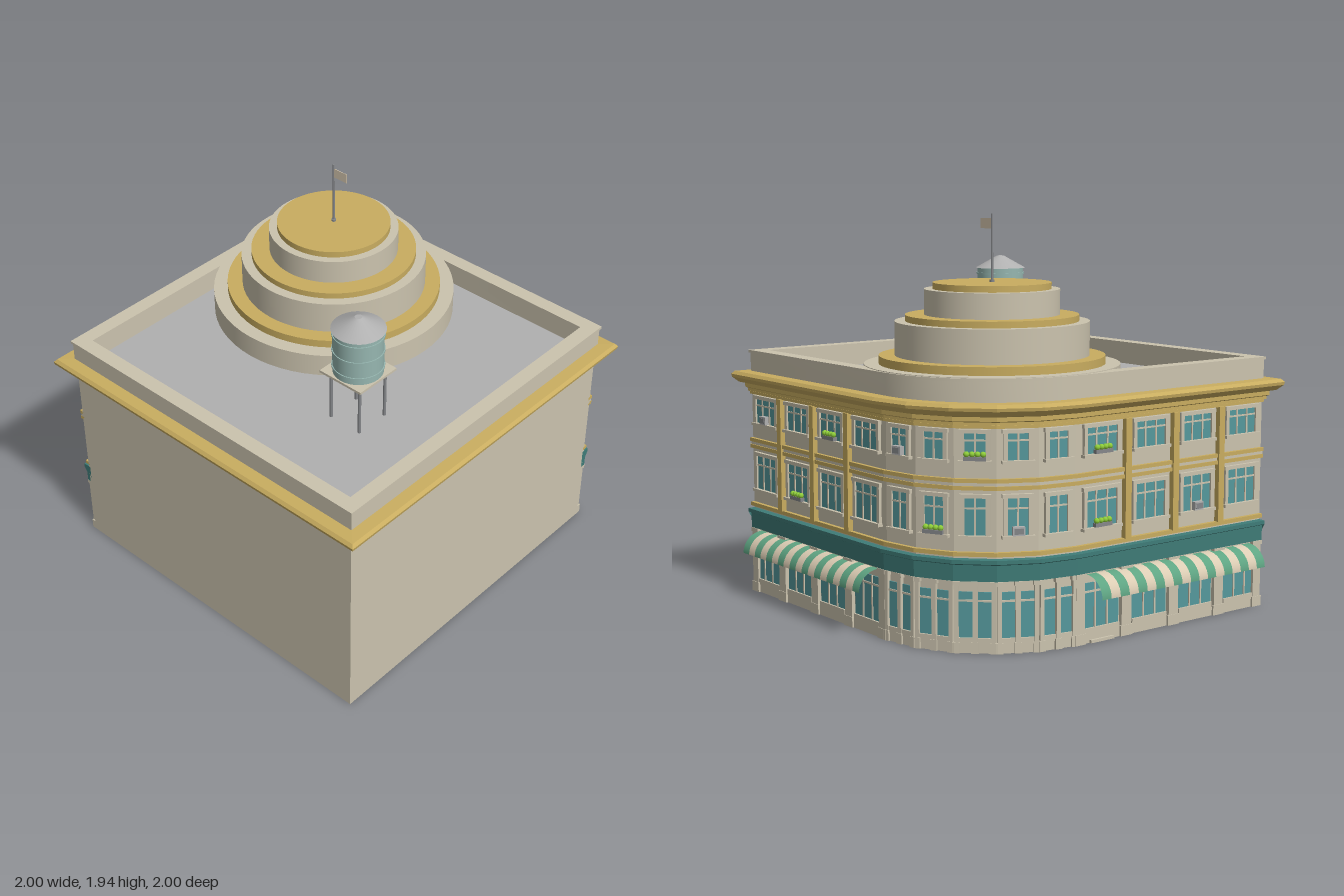
import * as THREE from 'three';
import { toCreasedNormals } from 'three/addons/utils/BufferGeometryUtils.js';

const mat = (name, color, side = THREE.FrontSide) => {
  const m = new THREE.MeshStandardMaterial({ color, side });
  m.name = name;
  return m;
};
const CORNER = -0.28, RADIUS = 0.61, FACETS = 5;

export function createModel() {
  const stone = mat('stone', 0xcbc3ae), gold = mat('gold', 0xc9ad60), roofGrey = mat('roof grey', 0xb0b0b0);
  const teal = mat('teal trim', 0x3f7c78), glass = mat('glass', 0x55989c), green = mat('awning green', 0x5fa583, THREE.DoubleSide);
  const cream = mat('cream', 0xdccdb4, THREE.DoubleSide), tankBlue = mat('tank blue', 0x96b6b0);
  const lime = mat('leaf green', 0x8fce3a), steel = mat('steel', 0x85878a);

  const model = new THREE.Group();
  model.name = 'cornerBuilding';

  const add = (parent, name, geo, material, x = 0, y = 0, z = 0) => {
    const m = new THREE.Mesh(geo, material);
    m.name = name;
    m.position.set(x, y, z);
    parent.add(m);
    return m;
  };
  const box = (p, name, material, w, h, d, x, y, z) => add(p, name, new THREE.BoxGeometry(w, h, d), material, x, y, z);
  const group = (name, parent = model) => {
    const g = new THREE.Group();
    g.name = name;
    parent.add(g);
    return g;
  };

  // Plan of the building with one rounded corner, grown outward by o
  const facadePath = (o, far, segs) => {
    const pts = [[CORNER - RADIUS - o, far]], r = RADIUS + o;
    for (let i = 0; i <= segs; i++) {
      const t = (i / segs) * Math.PI / 2;
      pts.push([CORNER - r * Math.cos(t), CORNER - r * Math.sin(t)]);
    }
    pts.push([far, CORNER - RADIUS - o]);
    return pts;
  };
  const plan = (o, far, segs) => [...facadePath(o, far + o, segs), [far + o, far + o]];

  // Sweeps a profile of [offset, y] round the whole plan, or along the two street facades only
  const sweep = (profile, far, segs, whole) => {
    const rings = profile.map(([o, y]) => (whole ? plan(o, far, segs) : facadePath(o, far, segs)).map(([x, z]) => [x, y, z]));
    const pos = [], n = rings[0].length;
    const tri = (a, b, c) => pos.push(...a, ...b, ...c);
    for (let k = 0; k < rings.length - 1; k++) {
      const lo = rings[k], hi = rings[k + 1];
      for (let i = 0; i < (whole ? n : n - 1); i++) {
        const j = (i + 1) % n;
        tri(lo[i], hi[i], hi[j]);
        tri(lo[i], hi[j], lo[j]);
      }
      if (!whole && k > 0) {
        tri(rings[0][0], hi[0], lo[0]);
        tri(rings[0][n - 1], lo[n - 1], hi[n - 1]);
      }
    }
    const g = new THREE.BufferGeometry();
    g.setAttribute('position', new THREE.Float32BufferAttribute(pos, 3));
    g.computeVertexNormals();
    return segs > FACETS ? toCreasedNormals(g, 0.4) : g;
  };
  const slab = (o, far, up) => {
    const s = new THREE.Shape(plan(o, far, FACETS).map(([x, z]) => new THREE.Vector2(x, -up * z)));
    return new THREE.ShapeGeometry(s).rotateX(-up * Math.PI / 2);
  };

  // Main body
  add(model, 'walls', sweep([[0, 0], [0, 1.05]], 0.915, FACETS, true), stone);
  add(model, 'underside', slab(0, 0.915, -1), stone);
  add(model, 'roofDeck', slab(-0.03, 0.925, 1), roofGrey, 0, 1.125);
  add(model, 'cornice', sweep([[0, 1.03], [0.012, 1.03], [0.012, 1.045], [0.022, 1.05], [0.022, 1.07],
    [0.045, 1.075], [0.07, 1.1], [0.073, 1.115], [0.06, 1.13], [0, 1.132]], 0.925, FACETS, true), gold);
  add(model, 'parapet', sweep([[0, 1.12], [0, 1.225], [0.007, 1.225], [0.007, 1.238], [-0.068, 1.238], [-0.068, 1.12]], 0.925, 20, true), stone);

  // Bands along the street facades
  const band = (name, m, profile) => add(model, name, sweep(profile, 0.915, FACETS, false), m);
  const flatBand = (name, m, y0, y1, o) => band(name, m, [[-0.01, y0], [o, y0], [o, y1], [-0.01, y1]]);
  band('shopfrontBand', teal, [[-0.01, 0.33], [0.018, 0.33], [0.02, 0.405], [0.036, 0.412], [0.036, 0.43], [-0.01, 0.432]]);
  flatBand('lowerGoldBand', gold, 0.443, 0.462, 0.02);
  flatBand('middleGoldBand', gold, 0.742, 0.76, 0.018);
  flatBand('middleStoneBand', stone, 0.76, 0.775, 0.012);
  flatBand('middleUpperGoldBand', gold, 0.775, 0.793, 0.018);
  flatBand('topGoldBand', gold, 1.018, 1.032, 0.014);
  flatBand('plinth', stone, 0, 0.04, 0.012);

  // Upper window in a panel whose local +z faces the street
  const upperWindow = (p, w, y0, y1, parts) => {
    const g = group('window', p), h = y1 - y0, yc = (y0 + y1) / 2;
    box(g, 'glass', glass, w, h, 0.008, 0, yc, 0.002);
    for (const s of [-1, 1]) box(g, 'jamb', stone, 0.02, h, 0.018, s * w / 2, yc, 0.006);
    for (let i = 1; i < parts; i++) box(g, 'mullion', stone, 0.009, h, 0.012, -w / 2 + (w * i) / parts, yc, 0.004);
    box(g, 'transom', stone, w, 0.008, 0.012, 0, y0 + h * 0.7, 0.004);
    box(g, 'lintel', stone, w + 0.03, 0.018, 0.024, 0, y1, 0.006);
    box(g, 'sill', stone, w + 0.035, 0.014, 0.034, 0, y0, 0.008);
  };
  const flowerBox = (p, y) => {
    const g = group('flowerBox', p);
    box(g, 'planter', steel, 0.1, 0.018, 0.024, 0, y + 0.016, 0.016);
    for (let i = -1.5; i < 2; i++) add(g, 'plant', new THREE.SphereGeometry(0.014, 8, 6), lime, i * 0.025, y + 0.035, 0.018);
  };
  const coolerBox = (p, y) => {
    const g = group('airConditioner', p);
    box(g, 'case', roofGrey, 0.055, 0.04, 0.03, 0, y + 0.028, 0.016);
    box(g, 'grille', steel, 0.042, 0.026, 0.004, 0, y + 0.028, 0.032);
  };
  // Sill extras per floor, lower then upper: F flower box, A air conditioner
  const floors = [[0.53, 0.715], [0.868, 1.005]];
  const dress = (p, extras) => floors.forEach(([sill], i) => {
    if (extras[i] === 'F') flowerBox(p, sill);
    if (extras[i] === 'A') coolerBox(p, sill);
  });

  // Shop window between piers
  const shopWindow = (p, x, w, parts) => {
    const g = group('shopWindow', p);
    box(g, 'glass', glass, w, 0.21, 0.008, x, 0.175, 0.002);
    box(g, 'transom', stone, w, 0.009, 0.012, x, 0.24, 0.005);
    box(g, 'stallRiser', stone, w, 0.03, 0.022, x, 0.055, 0.004);
    for (let i = 1; i < parts; i++) box(g, 'mullion', stone, 0.009, 0.21, 0.012, x - w / 2 + (w * i) / parts, 0.175, 0.005);
  };
  const pier = (p, x, w) => {
    box(p, 'pier', stone, w, 0.3, 0.03, x, 0.18, 0.004);
    box(p, 'pierBase', stone, w + 0.012, 0.05, 0.036, x, 0.025, 0.004);
    box(p, 'pierCap', stone, w + 0.012, 0.02, 0.036, x, 0.32, 0.004);
  };

  // Straight facades: four bays each, listed from the rounded corner outward
  const facade = (name, turn, toPosition, extras) => {
    const f = group(name);
    const panel = (label, c) => {
      const g = group(label, f);
      g.position.set(...toPosition(c));
      g.rotation.y = turn;
      return g;
    };
    [-0.13, 0.17, 0.47, 0.77].forEach((c, i) => {
      const p = panel('bay', c);
      for (const [y0, y1] of floors) upperWindow(p, 0.2, y0, y1, 3);
      shopWindow(p, 0, 0.22, 3);
      dress(p, extras[i]);
    });
    for (const c of [0.02, 0.32, 0.62]) {
      const p = panel('pilaster', c);
      box(p, 'goldPilaster', gold, 0.036, 0.56, 0.036, 0, 0.74, 0.008);
      pier(p, 0, 0.06);
    }
    for (const c of [-0.26, 0.884]) pier(panel('endPier', c), 0, 0.05);

    // Striped awning
    const awning = panel('awning', 0.3175), n = 19, w = 1.055 / n;
    const curve = new THREE.CylinderGeometry(1, 1, w, 8, 1, true, 0, Math.PI / 2).rotateZ(Math.PI / 2).scale(1, 0.1, 0.11);
    for (let i = 0; i < n; i++) add(awning, 'awningStripe', curve, i % 2 ? cream : green, (i - (n - 1) / 2) * w, 0.22, 0);
    return panel;
  };
  const face = CORNER - RADIUS;
  facade('backFacade', Math.PI, c => [c, 0, face], ['--', '-F', 'F-', '-A']);
  const sidePanel = facade('sideFacade', -Math.PI / 2, c => [face, 0, c], ['FF', '--', 'A-', '--']);
  box(sidePanel('entrance', -0.13), 'doorStep', stone, 0.14, 0.014, 0.05, 0, 0.007, 0);

  // Rounded corner: one panel per facet
  const corner = group('roundedCorner'), half = Math.PI / 4 / FACETS;
  ['-A', 'F-', '-F', 'A-', '--'].forEach((extras, i) => {
    const turn = Math.PI + half * (2 * i + 1), r = RADIUS * Math.cos(half);
    const p = group('cornerPanel', corner);
    p.rotation.y = turn;
    p.position.set(CORNER + r * Math.sin(turn), 0, CORNER + r * Math.cos(turn));
    for (const [y0, y1] of floors) upperWindow(p, 0.115, y0, y1, 2);
    for (const s of [-1, 1]) {
      shopWindow(p, s * 0.045, 0.065, 1);
      pier(p, s * 0.085, 0.02);
    }
    pier(p, 0, 0.022);
    dress(p, extras);
  });

  // Stepped round crown and flagpole
  const crown = group('crown');
  crown.position.set(CORNER, 0, CORNER);
  const tiers = [[0.605, 1.12, 1.241, stone], [0.535, 1.241, 1.28, gold], [0.46, 1.28, 1.44, stone],
    [0.41, 1.44, 1.47, gold], [0.32, 1.47, 1.59, stone], [0.28, 1.59, 1.62, gold]];
  for (const [r, y0, y1, m] of tiers) add(crown, 'crownTier', new THREE.CylinderGeometry(r, r, y1 - y0, 64), m, 0, (y0 + y1) / 2, 0);
  add(crown, 'flagpole', new THREE.CylinderGeometry(0.005, 0.006, 0.32, 10), steel, 0, 1.78, 0);
  add(crown, 'flagpoleFoot', new THREE.CylinderGeometry(0.012, 0.012, 0.012, 12), steel, 0, 1.625, 0);
  box(crown, 'flag', cream, 0.085, 0.048, 0.003, 0.043, 1.893, 0);

  // Rooftop water tank
  const tank = group('waterTank');
  tank.position.set(0.416, 0, 0.315);
  for (const x of [-0.088, 0.088]) for (const z of [-0.088, 0.088])
    add(tank, 'leg', new THREE.CylinderGeometry(0.008, 0.008, 0.27, 10), steel, x, 1.255, z);
  box(tank, 'platform', stone, 0.25, 0.012, 0.25, 0, 1.392, 0);
  add(tank, 'barrel', new THREE.CylinderGeometry(0.119, 0.119, 0.235, 32), tankBlue, 0, 1.515, 0);
  for (const y of [1.432, 1.52, 1.605]) add(tank, 'hoop', new THREE.CylinderGeometry(0.124, 0.124, 0.009, 32), tankBlue, 0, y, 0);
  add(tank, 'tankRoof', new THREE.CylinderGeometry(0.018, 0.128, 0.062, 32), roofGrey, 0, 1.664, 0);
  return model;
}
